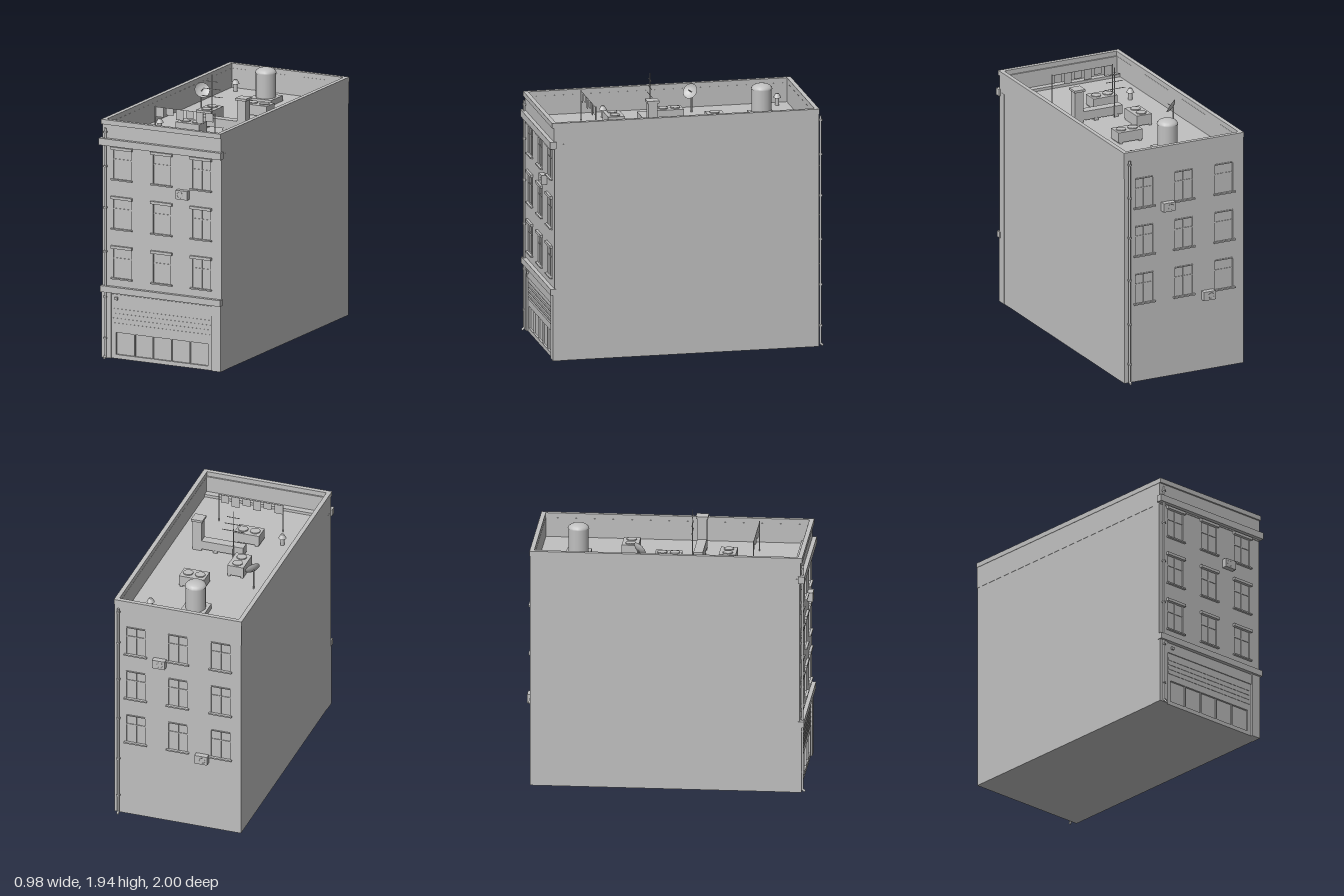
import * as THREE from 'three';

export function createModel() {
  const root = new THREE.Group();
  root.name = 'townBuilding';
  const grey = new THREE.MeshStandardMaterial({ color: 0xc0c0c0, side: THREE.DoubleSide });
  grey.name = 'plaster grey';

  const add = (name, geo, x = 0, y = 0, z = 0, parent = root) => {
    const m = new THREE.Mesh(geo, grey);
    m.name = name;
    m.position.set(x, y, z);
    parent.add(m);
    return m;
  };
  // Box given by its limits on each axis
  const box = (name, x0, x1, y0, y1, z0, z1, parent) =>
    add(name, new THREE.BoxGeometry(x1 - x0, y1 - y0, z1 - z0),
      (x0 + x1) / 2, (y0 + y1) / 2, (z0 + z1) / 2, parent);
  const cyl = (name, r0, r1, y0, y1, x, z, n = 12, parent) =>
    add(name, new THREE.CylinderGeometry(r1, r0, y1 - y0, n), x, (y0 + y1) / 2, z, parent);
  const rect = (P, x0, x1, y0, y1) => {
    const p = new P();
    p.moveTo(x0, y0); p.lineTo(x1, y0); p.lineTo(x1, y1); p.lineTo(x0, y1); p.closePath();
    return p;
  };
  const extrude = (shape, depth) => new THREE.ExtrudeGeometry(shape, { depth, bevelEnabled: false });

  const W = 0.477, ROOF = 1.57;
  const cols = [-0.32, 0, 0.315], sills = [0.595, 0.955, 1.315];

  // Main block with flat roof
  box('mainBlock', -0.474, 0.474, 0.01, ROOF, -0.94, 0.93);

  // Front and back walls pierced by window openings
  const wall = (name, z0, depth, halfW, shop) => {
    const s = rect(THREE.Shape, -halfW, halfW, 0.01, 1.59);
    for (const x of cols) for (const y of sills)
      s.holes.push(rect(THREE.Path, x - 0.07, x + 0.07, y, y + 0.22));
    if (shop) s.holes.push(rect(THREE.Path, -0.37, 0.37, 0.04, 0.2));
    add(name, extrude(s, depth), 0, 0, z0);
  };
  wall('frontWall', 0.89, 0.07, W, true);
  wall('backWall', -0.957, 0.03, 0.474, false);

  // Windows: pane, bars, sill and head
  const windows = (side, face, dir) => {
    const zb = (name, x0, x1, y0, y1, a, b) =>
      box(name, x0, x1, y0, y1, Math.min(face + dir * a, face + dir * b), Math.max(face + dir * a, face + dir * b));
    for (const x of cols) for (const y of sills) {
      zb(side + 'WindowPane', x - 0.07, x + 0.07, y, y + 0.22, -0.014, -0.01);
      zb(side + 'WindowMullion', x - 0.004, x + 0.004, y, y + 0.22, -0.01, -0.005);
      zb(side + 'WindowTransom', x - 0.07, x + 0.07, y + 0.14, y + 0.148, -0.01, -0.005);
      zb(side + 'WindowSill', x - 0.085, x + 0.085, y - 0.006, y + 0.004, 0, 0.018);
      if (dir > 0) {
        zb('frontWindowHead', x - 0.085, x + 0.085, y + 0.217, y + 0.237, 0, 0.018);
      } else {
        zb('backWindowHead', x - 0.07, x + 0.07, y + 0.217, y + 0.225, 0, 0.006);
      }
    }
  };
  windows('front', 0.96, 1);
  windows('back', -0.957, -1);

  // Parapet ring and coping
  const ring = (name, hx, z0, z1, t, y0, y1) => {
    const s = rect(THREE.Shape, -hx, hx, -z1, -z0);
    s.holes.push(rect(THREE.Path, -hx + t, hx - t, -z1 + t, -z0 - t));
    add(name, extrude(s, y1 - y0), 0, y0, 0).rotation.x = -Math.PI / 2;
  };
  ring('parapet', 0.476, -0.957, 0.965, 0.03, 1.55, 1.71);
  ring('coping', 0.479, -0.96, 0.978, 0.032, 1.71, 1.745);

  // Front cornice and belt
  box('cornice', -0.489, 0.489, 1.56, 1.61, 0.95, 0.995);
  box('beltCourse', -0.482, 0.482, 0.49, 0.535, 0.95, 0.99);

  // Shopfront: piers, sign board, shutter slats, glazing
  for (const s of [-1, 1])
    box('shopPier', s * 0.44 - 0.037, s * 0.44 + 0.037, 0.01, 0.49, 0.95, 0.972);
  box('signBoard', -0.4, 0.4, 0.41, 0.48, 0.95, 0.967);
  for (let i = 0; i < 4; i++)
    box('shutterSlat', -0.39, 0.39, 0.25 + i * 0.035, 0.27 + i * 0.035, 0.958, 0.963);
  box('shopGlass', -0.37, 0.37, 0.04, 0.2, 0.94, 0.945);
  for (let i = 1; i < 5; i++)
    box('shopMullion', -0.374 + i * 0.148, -0.366 + i * 0.148, 0.04, 0.2, 0.945, 0.958);
  box('wallLamp', -0.37, -0.35, 0.44, 0.46, 0.965, 0.98);

  // Downpipes with clamps and angled outlet
  const downpipe = (x, z, dir) => {
    const g = new THREE.Group();
    g.name = 'downpipe';
    root.add(g);
    const path = new THREE.CurvePath();
    const p = [[1.685, 0], [0.025, 0], [0.01, dir * 0.017]].map(([y, d]) => new THREE.Vector3(x, y, z + d));
    path.add(new THREE.LineCurve3(p[0], p[1]));
    path.add(new THREE.LineCurve3(p[1], p[2]));
    cyl('pipe', 0.008, 0.008, 0.02, 1.685, x, z, 8, g);
    add('pipeOutlet', new THREE.TubeGeometry(path.curves[1], 1, 0.009, 8), 0, 0, 0, g);
    for (const y of [0.15, 0.45, 0.78, 1.1, 1.4, 1.65])
      box('pipeClamp', x - 0.011, x + 0.011, y, y + 0.012, z - 0.011, z + 0.011, g);
  };
  downpipe(-0.445, 0.977, 1);
  downpipe(0.44, -0.975, -1);

  // Wall mounted cooling units
  const cooler = (x, y, z0, z1) => {
    box('wallCooler', x - 0.047, x + 0.047, y, y + 0.065, z0, z1);
    const out = z1 > 0 ? z1 : z0;
    add('coolerFan', new THREE.TorusGeometry(0.022, 0.002, 5, 16), x - 0.012, y + 0.033, out - Math.sign(out) * 0.001);
  };
  cooler(0.175, 1.237, 0.958, 0.999);
  cooler(0.133, 1.262, -0.999, -0.955);
  cooler(-0.186, 0.542, -0.999, -0.955);

  // Water tank on a plinth
  box('tankPlinth', -0.117, 0.063, ROOF, 1.61, -0.74, -0.565);
  cyl('waterTank', 0.072, 0.072, 1.61, 1.785, -0.027, -0.652, 16);
  const dome = add('tankDome', new THREE.SphereGeometry(0.077, 16, 6, 0, Math.PI * 2, 0, Math.PI / 2), -0.027, 1.785, -0.652);
  dome.scale.y = 0.52;

  // Mushroom vents
  for (const [x, z] of [[-0.37, -0.84], [0.29, -0.71], [-0.295, 0.44]]) {
    cyl('ventPipe', 0.015, 0.015, ROOF, 1.63, x, z, 10);
    cyl('ventCap', 0.029, 0.012, 1.625, 1.655, x, z, 12);
  }

  // Rooftop cooling units with paired fans
  for (const [x, z, w, d] of [[0.11, -0.29, 0.19, 0.12], [-0.13, -0.003, 0.12, 0.19], [-0.055, 0.415, 0.19, 0.12]]) {
    box('roofCooler', x - w / 2, x + w / 2, ROOF + 0.01, 1.655, z - d / 2, z + d / 2);
    for (const s of [-1, 1]) {
      const fx = w > d ? x + s * 0.045 : x, fz = w > d ? z : z + s * 0.045;
      cyl('coolerFan', 0.036, 0.036, 1.655, 1.662, fx, fz, 16);
      box('coolerFoot', x + s * w * 0.4 - 0.01, x + s * w * 0.4 + 0.01, ROOF, 1.582, z - d / 2, z + d / 2);
    }
  }

  // Duct run and exhaust stack
  box('roofDuct', -0.095, 0.23, 1.585, 1.65, 0.17, 0.237);
  for (const x of [-0.06, 0.1]) box('ductFoot', x, x + 0.03, ROOF, 1.59, 0.168, 0.239);
  box('exhaustStack', 0.217, 0.283, ROOF, 1.805, 0.17, 0.237);
  box('exhaustCap', 0.207, 0.292, 1.803, 1.82, 0.16, 0.247);

  // Aerial with crossbars
  cyl('aerialMast', 0.004, 0.003, ROOF, 1.945, -0.025, 0.159, 6);
  [0.085, 0.067, 0.048].forEach((h, i) => {
    const y = 1.785 + i * 0.055;
    box('aerialBar', -0.025 - h, -0.025 + h, y - 0.002, y + 0.002, 0.157, 0.161);
  });

  // Satellite dish aimed up and toward the front corner
  cyl('dishPole', 0.006, 0.006, ROOF, 1.72, -0.305, -0.205, 8);
  const dish = new THREE.Group();
  dish.name = 'satelliteDish';
  dish.position.set(-0.303, 1.718, -0.203);
  dish.quaternion.setFromUnitVectors(new THREE.Vector3(0, 1, 0), new THREE.Vector3(1, 0.8, 1).normalize());
  root.add(dish);
  const bowl = [[0, 0], [0.025, 0.003], [0.043, 0.01], [0.056, 0.019]].map(([r, y]) => new THREE.Vector2(r, y));
  add('dishBowl', new THREE.LatheGeometry(bowl, 20), 0, 0, 0, dish);
  cyl('dishFeed', 0.003, 0.003, 0, 0.045, 0, 0, 6, dish);

  // Clothes line with washing
  for (const x of [-0.24, 0.24]) cyl('linePost', 0.004, 0.004, ROOF, 1.79, x, 0.61, 6);
  box('clothesLine', -0.24, 0.24, 1.782, 1.785, 0.6085, 0.6115);
  [0.07, 0.05, 0.075, 0.055, 0.08, 0.06].forEach((h, i) => {
    const x = -0.235 + i * 0.08;
    box('washing', x, x + 0.06, 1.783 - h, 1.783, 0.609, 0.611);
  });

  return root;
}
